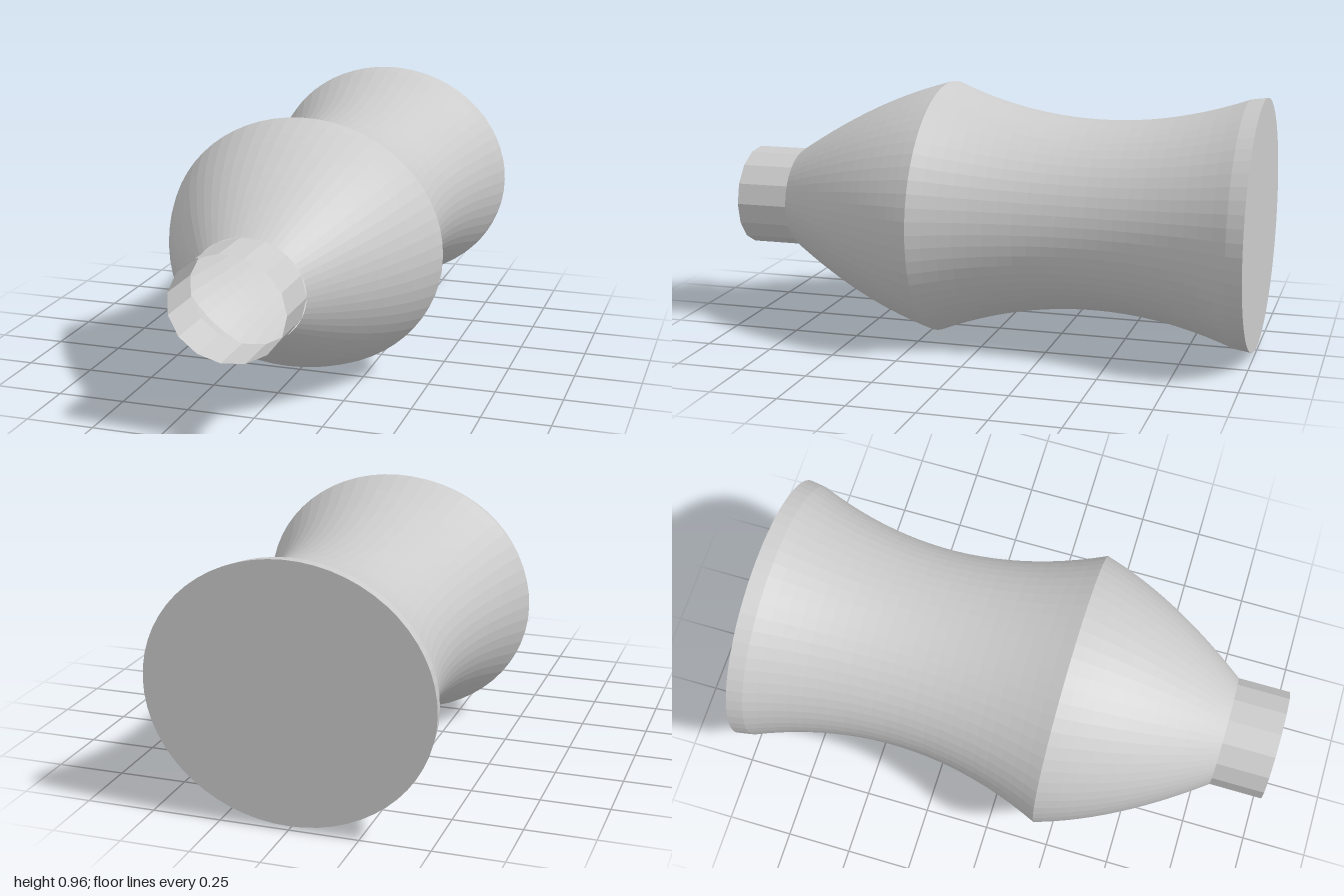
import * as THREE from 'three';

const CENTRE_Y = 0.48;
const FLATTEN = 0.9; // height / width of every cross-section

const material = new THREE.MeshStandardMaterial({
  color: 0xcccccc, flatShading: true, side: THREE.DoubleSide,
});

// Oval surface of revolution along z; profile points are (half width, z)
function ovalLathe(name, profile, sides) {
  const geometry = new THREE.LatheGeometry(profile, sides, Math.PI / 2);
  geometry.rotateX(Math.PI / 2);
  geometry.scale(1, FLATTEN, 1);
  geometry.translate(0, CENTRE_Y, 0);
  const mesh = new THREE.Mesh(geometry, material);
  mesh.name = name;
  return mesh;
}

export function createModel() {
  const group = new THREE.Group();
  group.name = 'bottle';
  const P = (r, z) => new THREE.Vector2(r, z);

  // Closed flat end
  const base = [P(0, -1), P(0.517, -1)];
  group.add(ovalLathe('base', base, 60));

  // Waisted grip, narrowest at z = -0.4
  const grip = [P(0.517, -1)];
  const rows = 22;
  for (let i = 0; i <= rows; i++) {
    const z = -0.94 + (1.14 * i) / rows;
    grip.push(P(0.397 + 0.136 * ((z + 0.4) / 0.6) ** 2, z));
  }
  group.add(ovalLathe('waistedBody', grip, 60));

  // Domed shoulder, tapering to the neck
  const shoulder = new THREE.QuadraticBezierCurve(P(0.533, 0.2), P(0.447, 0.49), P(0.211, 0.8));
  group.add(ovalLathe('shoulder', shoulder.getPoints(14), 60));

  // Open, coarsely faceted neck
  group.add(ovalLathe('neck', [P(0.211, 0.8), P(0.211, 1)], 15));

  return group;
}
